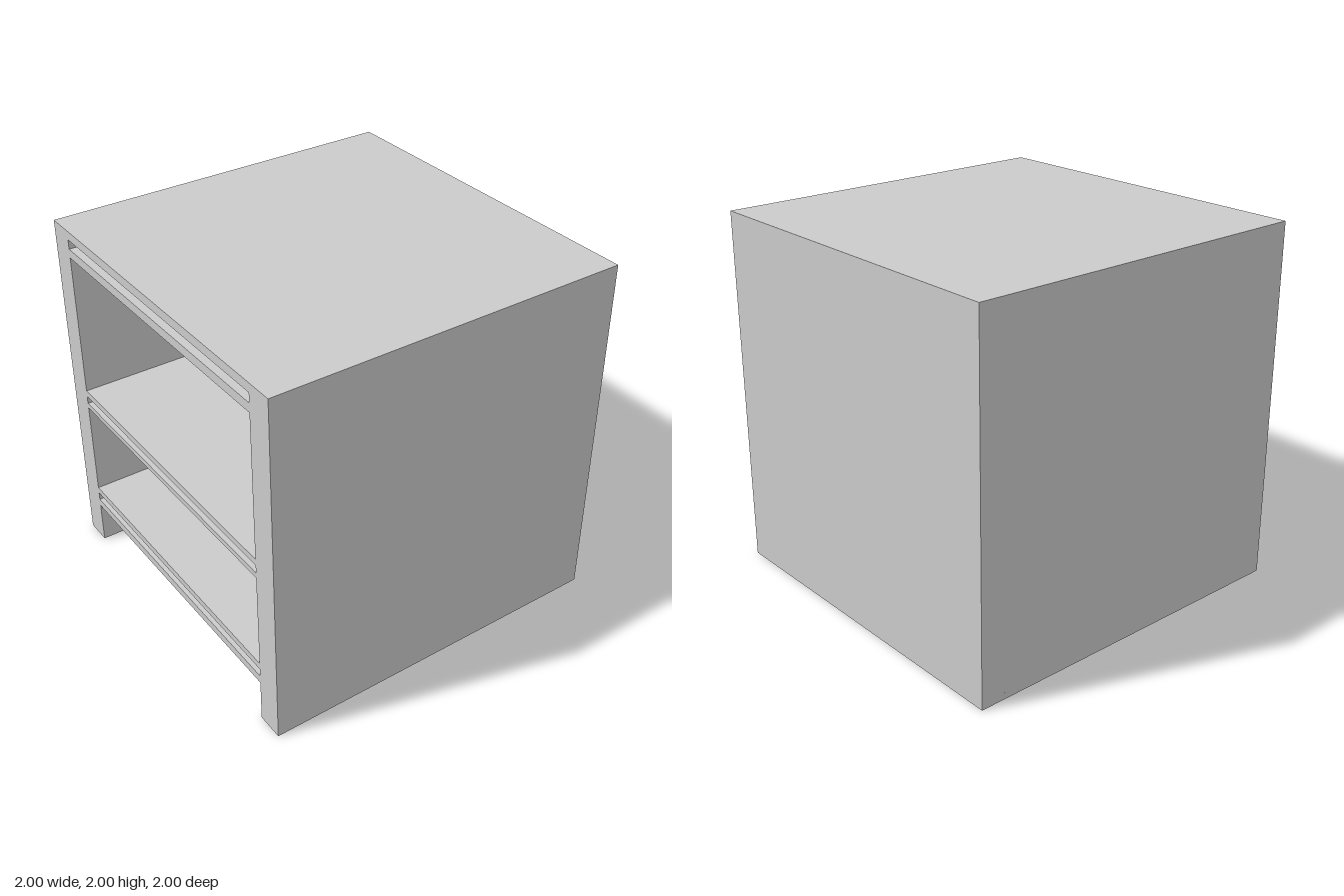
import * as THREE from 'three';

const HALF = 1, HEIGHT = 2;
const INNER = 0.85;      // half width of the openings
const BACK_Z = -0.86;    // inner face of the back panel
const KICK = 0.245;      // height of the open space under the lowest board

// Bottom and top heights of the openings, from the lowest up
const OPENINGS = [
  [0.29, 0.337],   // lower slot
  [0.375, 0.925],  // lower compartment
  [0.955, 1.0],    // middle slot
  [1.037, 1.847],  // upper compartment
  [1.897, 1.95],   // top slot
];

function polygon(Type, points) {
  return new Type(points.map(([x, y]) => new THREE.Vector2(x, y)));
}

export function createModel() {
  const model = new THREE.Group();
  model.name = 'cabinet';
  const material = new THREE.MeshStandardMaterial({ color: 0xcccccc, flatShading: true });

  // Sides, top and boards: the front outline run back to the rear panel
  const outline = polygon(THREE.Shape, [
    [-HALF, 0], [-INNER, 0], [-INNER, KICK], [INNER, KICK], [INNER, 0],
    [HALF, 0], [HALF, HEIGHT], [-HALF, HEIGHT],
  ]);
  for (const [y0, y1] of OPENINGS) {
    outline.holes.push(polygon(THREE.Path, [
      [-INNER, y0], [-INNER, y1], [INNER, y1], [INNER, y0],
    ]));
  }
  const carcass = new THREE.Mesh(
    new THREE.ExtrudeGeometry(outline, { depth: HALF - BACK_Z, bevelEnabled: false }),
    material
  );
  carcass.position.z = BACK_Z;
  carcass.name = 'carcass';
  model.add(carcass);

  // Back panel closing every compartment
  const thickness = BACK_Z + HALF;
  const back = new THREE.Mesh(new THREE.BoxGeometry(HALF * 2, HEIGHT, thickness), material);
  back.position.set(0, HEIGHT / 2, -HALF + thickness / 2);
  back.name = 'backPanel';
  model.add(back);

  return model;
}
